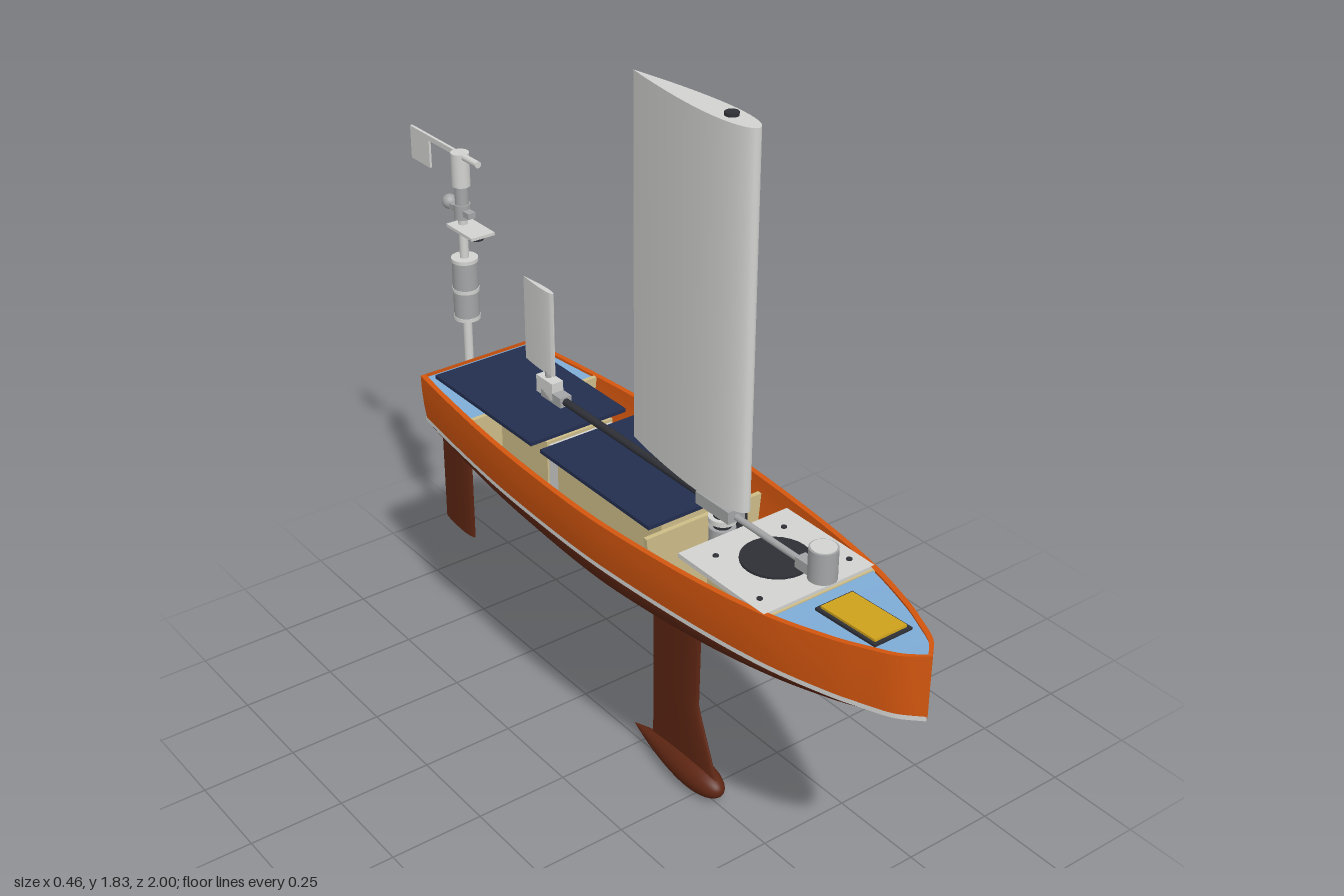
import * as THREE from 'three';
import { toCreasedNormals } from 'three/addons/utils/BufferGeometryUtils.js';

function paint(name, color, side = THREE.FrontSide) {
  const m = new THREE.MeshStandardMaterial({ color, side });
  m.name = name;
  return m;
}

export function createModel() {
  const D = THREE.DoubleSide;
  const orange = paint('orange topsides', 0xd4560f, D);
  const brown = paint('brown bottom', 0x5e2613, D);
  const white = paint('light grey', 0xd2d2d0, D);
  const blue = paint('blue deck', 0x7fadd8, D);
  const navy = paint('navy panel', 0x232e50);
  const yellow = paint('yellow hatch', 0xd0a31c);
  const tan = paint('tan wood', 0xcdbd88, D);
  const dark = paint('dark grey', 0x2e3036);
  const metal = paint('mid grey', 0xa4a5a6);

  const model = new THREE.Group();
  model.name = 'sailingDrone';
  const add = (name, geo, mat, x = 0, y = 0, z = 0) => {
    const m = new THREE.Mesh(geo, mat);
    m.name = name;
    m.position.set(x, y, z);
    model.add(m);
    return m;
  };
  // Box given by its limits: y0..y1, z0..z1, centred on x
  const box = (name, mat, w, y0, y1, z0, z1, x = 0) =>
    add(name, new THREE.BoxGeometry(w, y1 - y0, z1 - z0), mat, x, (y0 + y1) / 2, (z0 + z1) / 2);
  const post = (name, mat, r, y0, y1, z, x = 0) =>
    add(name, new THREE.CylinderGeometry(r, r, y1 - y0, 28), mat, x, (y0 + y1) / 2, z);
  const rod = (name, mat, r, y, z0, z1, x = 0) => {
    const m = add(name, new THREE.CylinderGeometry(r, r, z1 - z0, 16), mat, x, y, (z0 + z1) / 2);
    m.rotation.x = Math.PI / 2;
  };

  // Surface through rows of [x, y, z] points
  const loft = (rows) => {
    const n = rows[0].length, idx = [];
    for (let i = 0; i < rows.length - 1; i++)
      for (let j = 0; j < n - 1; j++) {
        const a = i * n + j, b = a + n;
        idx.push(a, b, a + 1, b, b + 1, a + 1);
      }
    const g = new THREE.BufferGeometry();
    g.setAttribute('position', new THREE.Float32BufferAttribute(rows.flat(2), 3));
    g.setIndex(idx);
    g.computeVertexNormals();
    return g;
  };

  // Hull stations: z, half beam, sheer height, keel height
  const stations = [
    [1, 0, 0.85, 0.69], [0.95, 0.05, 0.845, 0.677], [0.88, 0.085, 0.84, 0.66], [0.8, 0.118, 0.835, 0.641],
    [0.65, 0.163, 0.828, 0.612], [0.45, 0.197, 0.823, 0.579], [0.2, 0.221, 0.82, 0.555], [0, 0.228, 0.82, 0.552],
    [-0.3, 0.218, 0.82, 0.569], [-0.55, 0.195, 0.82, 0.595], [-0.73, 0.172, 0.82, 0.622],
  ];
  const spline = (k) => new THREE.CatmullRomCurve3(
    stations.map((s) => new THREE.Vector3(s[0], s[1], s[k])), false, 'catmullrom', 0.5).getPoints(70);
  const upper = spline(2), lower = spline(3);
  const hull = upper.map((p, i) => ({ z: p.x, b: Math.max(p.y, 0), top: p.z, keel: Math.min(lower[i].z, 0.69) }));
  const at = (z) => {
    let i = hull.findIndex((s) => s.z <= z + 1e-6);
    i = Math.max(i, 1);
    const p = hull[i - 1], q = hull[i], t = (z - p.z) / (q.z - p.z), mix = (k) => p[k] + (q[k] - p[k]) * t;
    return { z, b: mix('b'), top: mix('top'), keel: mix('keel') };
  };
  const WL = 0.69, NARROW = 0.93;

  // Topsides, waterline stripe and gunwale, mirrored
  for (const s of [1, -1]) {
    const side = s > 0 ? 'left' : 'right';
    add(side + 'Topside', loft(hull.map((h) => [0, 0.33, 0.67, 1].map((t) =>
      [s * h.b * (1 - (1 - NARROW) * t * t), h.top + (WL - h.top) * t, h.z]))), orange);
    add(side + 'WaterlineStripe', loft(hull.map((h) => [0.696, 0.684].map((y) =>
      [s * (h.b * NARROW + 0.003), y, h.z]))), white);
    add(side + 'Gunwale', loft(hull.map((h) => [0, 0.014].map((d) =>
      [s * Math.max(h.b - d, 0), h.top, h.z]))), orange);
  }
  add('hullBottom', loft(hull.map((h) => Array.from({ length: 25 }, (_, j) => {
    const a = (j / 24) * Math.PI;
    return [h.b * NARROW * Math.cos(a), WL - (WL - h.keel) * Math.sin(a), h.z];
  }))), brown);

  // Transom
  const sectionShape = (h, top, bottomOnly, k = 1) => {
    const sh = new THREE.Shape(), w = h.b * NARROW * k;
    if (!bottomOnly) { sh.moveTo(w, WL); sh.lineTo(h.b * k, top); sh.lineTo(-h.b * k, top); sh.lineTo(-w, WL); }
    else sh.moveTo(-w, WL);
    if (bottomOnly !== null)
      for (let j = 1; j <= 20; j++) {
        const a = Math.PI * (1 - j / 20);
        sh.lineTo(w * Math.cos(a), WL - (WL - h.keel) * Math.sin(a));
      }
    return sh;
  };
  const stern = at(-0.73);
  add('transomTop', new THREE.ShapeGeometry(sectionShape(stern, stern.top, null)), orange, 0, 0, -0.73);
  add('transomBottom', new THREE.ShapeGeometry(sectionShape(stern, WL, true)), brown, 0, 0, -0.73);
  box('transomStripe', white, 0.32, 0.684, 0.696, -0.733, -0.729);

  // Bulkheads
  for (const [z, k] of [[0.65, 0.97], [0.24, 0.78], [-0.465, 0.97]]) {
    const h = at(z);
    add('bulkhead', new THREE.ExtrudeGeometry(sectionShape(h, h.top - 0.007, false, k),
      { depth: 0.012, bevelEnabled: false }), tan, 0, 0, z - 0.006);
  }

  // Fore and aft decks
  const deck = (name, z0, z1) => add(name, loft(Array.from({ length: 25 }, (_, i) => {
    const h = at(z0 + ((z1 - z0) * i) / 24), w = Math.max(h.b - 0.01, 0);
    return [[-w, h.top - 0.01, h.z], [w, h.top - 0.01, h.z]];
  })), blue);
  deck('foreDeck', 0.655, 0.995);
  deck('aftDeck', -0.73, -0.47);
  box('hatchRim', dark, 0.108, 0.818, 0.831, 0.695, 0.885).rotation.x = -0.05;
  box('foreHatch', yellow, 0.092, 0.82, 0.837, 0.704, 0.876).rotation.x = -0.05;

  // Solar panels and the equipment boxes beneath them
  box('aftSolarPanel', navy, 0.29, 0.816, 0.826, -0.70, -0.26);
  box('foreSolarPanel', navy, 0.29, 0.816, 0.826, -0.22, 0.22);
  box('aftBatteryBox', tan, 0.2, 0.64, 0.814, -0.46, -0.255);
  box('foreBatteryBox', tan, 0.2, 0.64, 0.814, -0.21, 0.21);
  box('boxBridge', white, 0.19, 0.66, 0.806, -0.255, -0.21);

  // Instrument plate with round hatch
  box('instrumentPlate', white, 0.32, 0.816, 0.828, 0.35, 0.65);
  box('instrumentBox', tan, 0.2, 0.66, 0.816, 0.38, 0.62);
  post('roundHatch', dark, 0.083, 0.826, 0.834, 0.5);
  for (const [x, z] of [[-0.1, 0.41], [0.1, 0.41], [-0.13, 0.6], [0.13, 0.6]]) post('plateBolt', dark, 0.007, 0.826, 0.831, z, x);
  post('deckSensor', dark, 0.018, 0.72, 0.83, 0.3, 0.06);

  // Foil-shaped blade; the rule reshapes z for a given height
  const half = (u, t) => 5 * t * (0.2969 * Math.sqrt(u) - 0.126 * u - 0.3516 * u * u + 0.2843 * u ** 3 - 0.1036 * u ** 4);
  const foil = (name, mat, thick, y0, y1, lead, trail, x = 0, rule = null) => {
    const pts = [], n = 20, c = lead - trail;
    for (let i = -n; i < n; i++) {
      const u = (i / n) ** 2;
      pts.push(new THREE.Vector2(Math.sign(i) * half(u, thick), -(lead - u * c)));
    }
    const g = new THREE.ExtrudeGeometry(new THREE.Shape(pts), { depth: y1 - y0, steps: rule ? 16 : 1, bevelEnabled: false });
    g.rotateX(-Math.PI / 2);
    g.translate(0, y0, 0);
    const p = g.attributes.position;
    if (rule) for (let i = 0; i < p.count; i++) p.setZ(i, rule(p.getY(i), p.getZ(i)));
    return add(name, toCreasedNormals(g, 0.6), mat, x);
  };

  // Keel, ballast bulb and twin rudders
  foil('keelFin', brown, 0.022, 0.06, 0.58, 0.24, 0.05, 0, (y, z) =>
    0.05 + (z - 0.05) * (1 + Math.max(0, 0.25 - y) * 2.2 - Math.max(0, Math.min(0.58 - y, 0.33)) * 0.1));
  const bulb = Array.from({ length: 25 }, (_, i) => {
    const u = (1 - i / 24) ** 2;
    return new THREE.Vector2(Math.max(half(u, 0.084), 0), 0.33 - 0.36 * u);
  });
  add('ballastBulb', new THREE.LatheGeometry(bulb, 28).rotateX(Math.PI / 2), brown, 0, 0.043, 0);
  for (const s of [1, -1]) foil(s > 0 ? 'leftRudder' : 'rightRudder', brown, 0.016, 0.37, 0.66, -0.59, -0.73, s * 0.115);

  // Wing sail on its pivot
  foil('wingSail', white, 0.068, 0.9, 1.82, 0.4, -0.03);
  post('wingTopPin', dark, 0.016, 1.815, 1.828, 0.31);
  post('mastTube', metal, 0.032, 0.57, 0.82, 0.31);
  post('mastBearing', dark, 0.022, 0.81, 0.86, 0.31);
  post('mastCollar', white, 0.034, 0.835, 0.848, 0.31);
  box('mastHub', metal, 0.05, 0.856, 0.888, 0.24, 0.36);
  post('mastStub', dark, 0.015, 0.88, 0.91, 0.31);

  // Boom with counterweight and control tail
  rod('foreBoom', metal, 0.008, 0.868, 0.34, 0.64);
  rod('aftBoom', dark, 0.01, 0.868, -0.34, 0.26);
  post('counterweight', metal, 0.034, 0.862, 0.94, 0.655);
  post('counterweightCap', white, 0.03, 0.938, 0.942, 0.655);
  box('boomClamp', metal, 0.03, 0.855, 0.882, 0.58, 0.64);
  box('tailBracket', metal, 0.034, 0.855, 0.882, -0.40, -0.315);
  box('tailServo', white, 0.034, 0.86, 0.908, -0.42, -0.35);
  post('tailPivot', metal, 0.008, 0.9, 0.925, -0.39);
  foil('tailFin', white, 0.014, 0.92, 1.15, -0.36, -0.49);

  // Sensor mast at the stern
  const mz = -0.765;
  post('sensorMast', white, 0.012, 0.6, 1.34, mz);
  box('upperMastBracket', metal, 0.05, 0.665, 0.69, -0.785, -0.73);
  box('mastBracketPlate', metal, 0.03, 0.61, 0.69, -0.755, -0.735);
  box('lowerMastBracket', metal, 0.05, 0.59, 0.612, -0.785, -0.73);
  post('sensorCanister', metal, 0.034, 0.93, 1.095, mz);
  for (const y of [0.93, 1.01, 1.095]) post('canisterBand', white, 0.0355, y - 0.005, y + 0.005, mz);
  box('sensorShelf', white, 0.07, 1.186, 1.194, -0.79, -0.67);
  post('shelfSensor', dark, 0.02, 1.172, 1.187, -0.705);
  box('sensorArm', metal, 0.022, 1.222, 1.238, -0.84, -0.72);
  post('armClamp', metal, 0.022, 1.21, 1.25, mz);
  add('armBall', new THREE.SphereGeometry(0.02, 20, 14), metal, 0, 1.235, -0.825);

  // Wind vane
  post('vaneNeck', metal, 0.018, 1.25, 1.31, mz);
  post('vaneHead', white, 0.024, 1.3, 1.39, mz);
  rod('vanePointer', white, 0.009, 1.383, mz, -0.68);
  box('vaneArm', white, 0.008, 1.376, 1.39, -0.99, mz);
  box('vaneTail', white, 0.006, 1.3, 1.39, -1, -0.91);

  return model;
}
